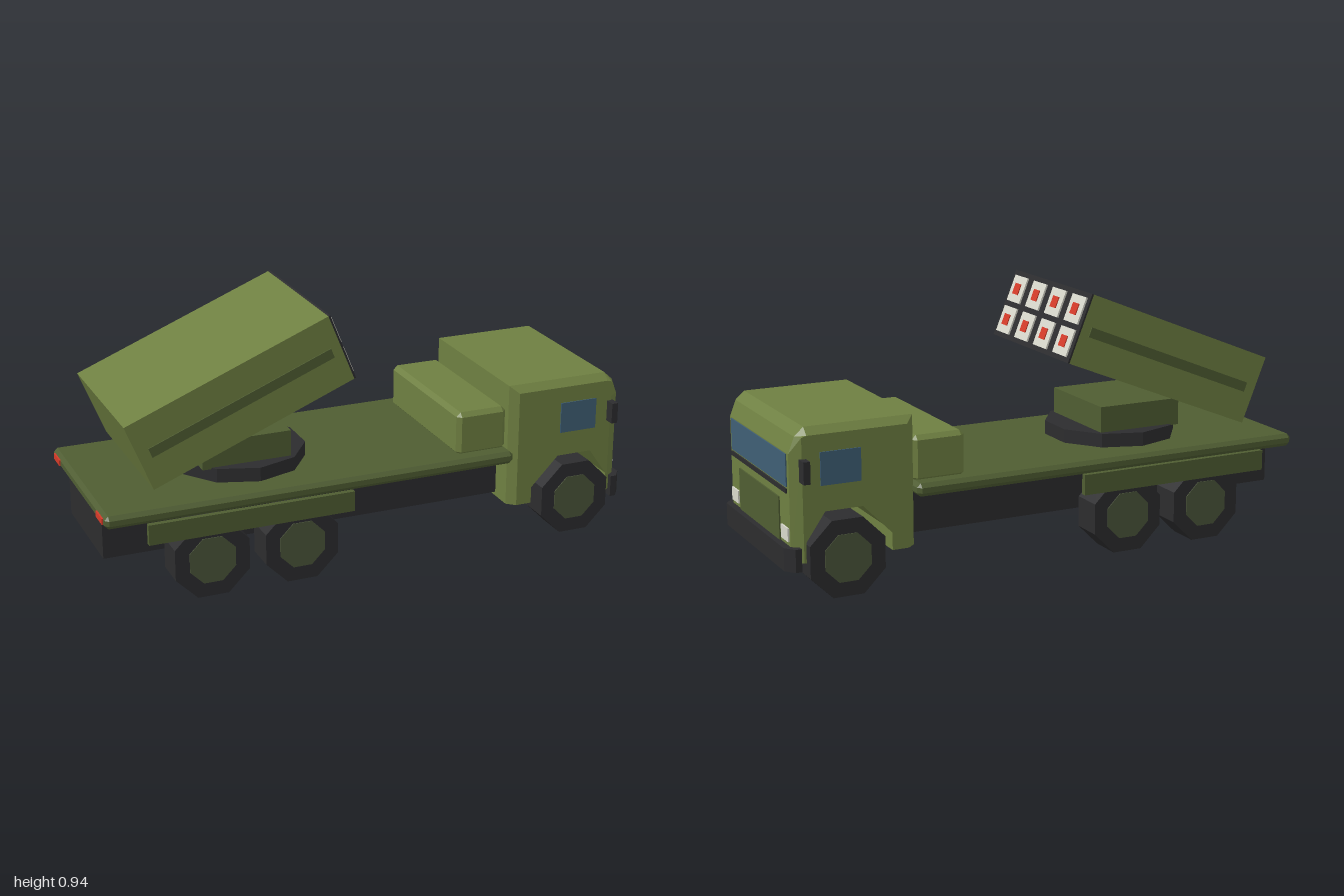
import * as THREE from 'three';
import { ConvexGeometry } from 'three/addons/geometries/ConvexGeometry.js';

const paint = (name, color) => {
  const m = new THREE.MeshStandardMaterial({ color });
  m.name = name;
  return m;
};

export function createModel() {
  const green = paint('olive green', 0x6e7f41);
  const darkGreen = paint('dark olive', 0x4f5d32);
  const black = paint('charcoal', 0x2c2c2e);
  const hubGreen = paint('hub grey green', 0x4a543a);
  const white = paint('off white', 0xd8d8cc);
  const red = paint('red', 0xd43a28);
  const glass = paint('blue glass', 0x3f5f75);

  const model = new THREE.Group();
  model.name = 'launcherTruck';

  const add = (name, geometry, material, x = 0, y = 0, z = 0, parent = model) => {
    const mesh = new THREE.Mesh(geometry, material);
    mesh.name = name;
    mesh.position.set(x, y, z);
    parent.add(mesh);
    return mesh;
  };
  // Box given by its lower and upper limits on each axis
  const box = (name, material, [x0, x1], [y0, y1], [z0, z1], parent = model) =>
    add(name, new THREE.BoxGeometry(x1 - x0, y1 - y0, z1 - z0), material,
      (x0 + x1) / 2, (y0 + y1) / 2, (z0 + z1) / 2, parent);
  // Box with every edge and corner chamfered by b
  const chamferBox = (w, h, d, b) => {
    const pts = [];
    for (const sx of [-1, 1]) for (const sy of [-1, 1]) for (const sz of [-1, 1])
      for (let axis = 0; axis < 3; axis++) {
        const inset = (k) => (k === axis ? 0 : b);
        pts.push(new THREE.Vector3(
          sx * (w / 2 - inset(0)), sy * (h / 2 - inset(1)), sz * (d / 2 - inset(2))));
      }
    return new ConvexGeometry(pts);
  };
  const shapeOf = (pts) => new THREE.Shape(pts.map(([x, y]) => new THREE.Vector2(x, y)));

  // Chassis, flat bed and box behind the cab
  box('chassis', black, [-0.97, 0.54], [0.145, 0.315], [-0.21, 0.21]);
  add('bed', chamferBox(1.525, 0.047, 0.69, 0.014), darkGreen, -0.23, 0.331, 0);
  add('storageBox', chamferBox(0.195, 0.165, 0.58, 0.016), green, 0.428, 0.427, 0);

  // Cab: side profile with an open wheel arch
  const profile = shapeOf([
    [0.53, 0.13], [0.62, 0.13], [0.62, 0.2], [0.725, 0.3], [0.86, 0.3], [0.93, 0.2], [0.93, 0.13],
    [0.975, 0.13], [0.975, 0.503], [0.953, 0.56], [0.92, 0.59], [0.53, 0.59],
  ]);
  const cab = new THREE.ExtrudeGeometry(profile, {
    depth: 0.586, bevelEnabled: true, bevelSegments: 1, bevelSize: 0, bevelThickness: 0.027,
  });
  cab.translate(0, 0, -0.293);
  // Pull the outermost layers in to chamfer the roof, front and rear edges
  const p = cab.attributes.position;
  for (let i = 0; i < p.count; i++) {
    if (Math.abs(p.getZ(i)) < 0.31) continue;
    p.setX(i, THREE.MathUtils.clamp(p.getX(i), 0.56, 0.938));
    p.setY(i, Math.min(p.getY(i), 0.565));
  }
  cab.computeVertexNormals();
  add('cab', cab, green);

  // Cab front
  box('windshield', glass, [0.973, 0.979], [0.387, 0.5], [-0.275, 0.275]);
  box('windshieldSill', black, [0.973, 0.981], [0.366, 0.381], [-0.275, 0.275]);
  box('grillePanel', darkGreen, [0.973, 0.98], [0.18, 0.336], [-0.2, 0.2]);
  const bumper = new THREE.ExtrudeGeometry(shapeOf([
    [0.95, -0.33], [0.972, -0.33], [1, -0.293], [1, 0.293], [0.972, 0.33], [0.95, 0.33],
  ]), { depth: 0.08, bevelEnabled: false });
  bumper.rotateX(-Math.PI / 2);
  add('bumper', bumper, black, 0, 0.105, 0);

  // Tyre has flats at top and bottom, hub shows on both sides
  const tyre = new THREE.CylinderGeometry(0.146, 0.146, 0.12, 8).toNonIndexed();
  const hub = new THREE.CylinderGeometry(0.09, 0.09, 0.126, 8).toNonIndexed();
  for (const g of [tyre, hub]) {
    g.rotateY(Math.PI / 8);
    g.rotateX(Math.PI / 2);
    g.computeVertexNormals();
  }

  // Parts mirrored on both sides
  for (const s of [-1, 1]) {
    const side = (a, b) => (s > 0 ? [a, b] : [-b, -a]);
    box('sideWindow', glass, [0.73, 0.875], [0.39, 0.505], side(0.317, 0.324));
    box('mirror', black, [0.923, 0.947], [0.41, 0.487], side(0.315, 0.358));
    box('headlight', white, [0.973, 0.981], [0.2, 0.247], side(0.218, 0.284));
    box('sideSkirt', darkGreen, [-0.85, -0.1], [0.238, 0.312], side(0.343, 0.363));
    box('tailLight', red, [-0.997, -0.99], [0.32, 0.342], side(0.24, 0.315));
    for (const x of [-0.62, -0.29, 0.79]) {
      const wheel = new THREE.Group();
      wheel.name = 'wheel';
      wheel.position.set(x, 0.135, s * 0.28);
      model.add(wheel);
      add('tyre', tyre, black, 0, 0, 0, wheel);
      add('hub', hub, hubGreen, 0, 0, 0, wheel);
    }
  }

  // Turntable and pedestal
  const ring = new THREE.CylinderGeometry(0.245, 0.245, 0.053, 10).toNonIndexed();
  ring.computeVertexNormals();
  add('turntable', ring, black, -0.406, 0.3785, 0);
  box('pedestal', darkGreen, [-0.595, -0.267], [0.4, 0.5], [-0.18, 0.18]);

  // Tilted launcher, built along its own x axis
  const launcher = new THREE.Group();
  launcher.name = 'launcher';
  launcher.position.set(-0.484, 0.674, 0);
  launcher.rotation.z = THREE.MathUtils.degToRad(22);
  model.add(launcher);
  box('launcherBody', green, [-0.398, 0.391], [-0.128, 0.128], [-0.291, 0.291], launcher);
  box('launcherFace', black, [0.391, 0.398], [-0.128, 0.128], [-0.291, 0.291], launcher);
  for (const s of [-1, 1])
    add('sideRail', new THREE.BoxGeometry(0.71, 0.036, 0.008), darkGreen, 0, 0, s * 0.291, launcher);
  for (const y of [-0.06, 0.06])
    for (let i = 0; i < 4; i++) {
      const z = (i - 1.5) * 0.148;
      add('tubeCover', new THREE.BoxGeometry(0.009, 0.1, 0.099), white, 0.4, y, z, launcher);
      add('tubeMark', new THREE.BoxGeometry(0.008, 0.042, 0.042), red, 0.404, y, z, launcher);
    }

  return model;
}
